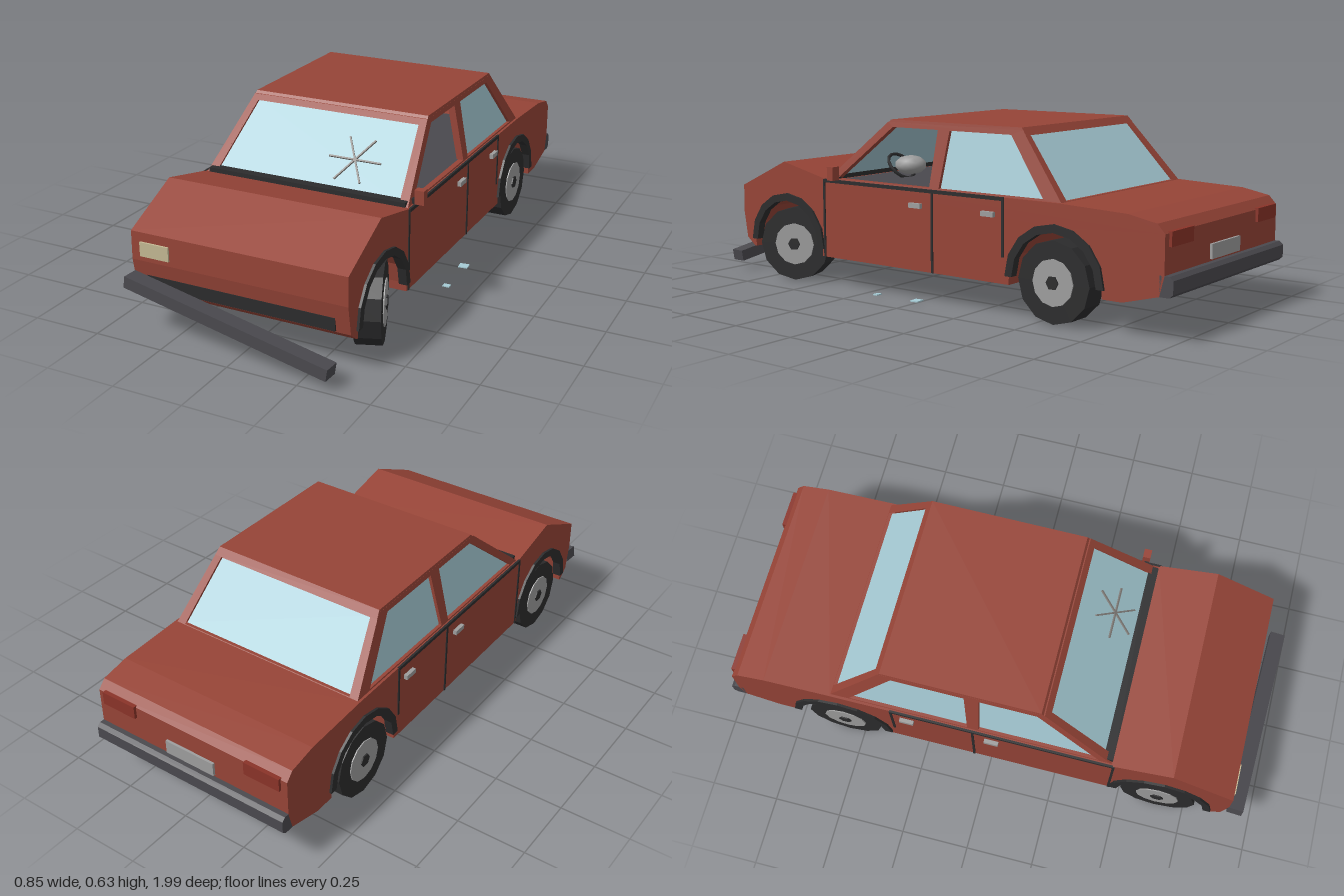
import * as THREE from 'three';

const mat = (name, color, side = THREE.FrontSide) => {
  const m = new THREE.MeshStandardMaterial({ color, side });
  m.name = name;
  return m;
};

export function createModel() {
  const paint = mat('rust red paint', 0x964437);
  const glassMat = mat('pale blue glass', 0xa6cbd5, THREE.DoubleSide);
  const black = mat('black rubber', 0x2c2c2d);
  const bumperGrey = mat('bumper grey', 0x4a494e);
  const metal = mat('light metal', 0x9d9d9d);
  const lampCream = mat('headlight cream', 0xc4b893);
  const lampRed = mat('tail light red', 0x8a3328);
  const crackGrey = mat('crack grey', 0x84807c);

  const model = new THREE.Group();
  model.name = 'damagedSedan';
  const car = new THREE.Group();
  car.name = 'car';
  car.position.x = -0.02;
  model.add(car);

  const add = (name, geo, material, parent = car) => {
    const m = new THREE.Mesh(geo, material);
    m.name = name;
    parent.add(m);
    return m;
  };
  const box = (name, material, size, pos, parent = car) => {
    const m = add(name, new THREE.BoxGeometry(...size), material, parent);
    m.position.set(...pos);
    return m;
  };
  const shapeOf = (pts, holes = []) => {
    const s = new THREE.Shape(pts.map(p => new THREE.Vector2(...p)));
    s.holes = holes.map(h => new THREE.Path(h.map(p => new THREE.Vector2(...p))));
    return s;
  };
  const extrude = (shape, depth) =>
    new THREE.ExtrudeGeometry(shape, { depth, bevelEnabled: false }).translate(0, 0, -depth / 2);
  // turns a (z, y) outline into a solid or sheet across x
  const toSide = geo => geo.rotateY(-Math.PI / 2);
  // leans a geometry by moving each vertex according to its height
  const lean = (geo, axis, rule) => {
    const p = geo.attributes.position;
    for (let i = 0; i < p.count; i++) {
      p.setComponent(i, axis, p.getComponent(i, axis) + rule(p.getY(i)));
    }
    geo.computeVertexNormals();
    return geo;
  };

  // Lower body: side outline with both wheel arches cut through
  const axleY = 0.14, archZ = [0.65, -0.565];
  const arc = (cz, r, n = 8) => Array.from({ length: n + 1 }, (_, i) => {
    const a = Math.PI * (1 - i / n);
    return [cz + r * Math.cos(a), axleY + r * Math.sin(a)];
  });
  const archCut = cz => [[cz - 0.18, 0.11], ...arc(cz, 0.18), [cz + 0.18, 0.11]];
  add('body', toSide(extrude(shapeOf([
    [0.838, 0.11], [0.878, 0.142], [0.895, 0.245], [0.893, 0.345], [0.667, 0.45], [0.45, 0.4],
    [-0.585, 0.4], [-0.837, 0.39], [-0.94, 0.37], [-0.967, 0.34], [-0.967, 0.21],
    [-0.95, 0.145], [-0.82, 0.11], ...archCut(archZ[1]), ...archCut(archZ[0]),
  ]), 0.79)), paint);

  // Cabin: the frames lean inwards from the beltline to the roof
  const sideX = y => 0.386 - (y - 0.4) * 0.213;
  const frontZ = y => 0.447 - (y - 0.4) * 1.17;
  const rearZ = y => -0.585 + (y - 0.4) * 0.84;
  const frontWindow = [[0.4, 0.405], [0.165, 0.603], [-0.042, 0.603], [-0.036, 0.405]];
  const rearWindow = [[-0.078, 0.405], [-0.094, 0.603], [-0.355, 0.603], [-0.515, 0.405]];
  const cabinOutline = [[0.447, 0.4], [0.19, 0.62], [-0.4, 0.62], [-0.585, 0.4]];

  for (const s of [1, -1]) {
    const label = s > 0 ? 'left' : 'right';
    const frame = toSide(extrude(shapeOf(cabinOutline, [frontWindow, rearWindow]), 0.026));
    add(label + 'CabinFrame', lean(frame, 0, y => s * (sideX(y) - 0.013)), paint);
    // the front door glass on the left is broken out
    const panes = s > 0 ? [rearWindow] : [frontWindow, rearWindow];
    panes.forEach(p => add(label + 'DoorGlass',
      lean(toSide(new THREE.ShapeGeometry(shapeOf(p))), 0, y => s * (sideX(y) - 0.012)), glassMat));
  }

  for (const [label, zRule, inward] of [['windscreen', frontZ, -1], ['rearWindow', rearZ, 1]]) {
    const hole = [[-0.352, 0.402], [-0.315, 0.603], [0.315, 0.603], [0.352, 0.402]];
    const outline = [[-0.386, 0.4], [-0.339, 0.62], [0.339, 0.62], [0.386, 0.4]];
    const frame = extrude(shapeOf(outline, [hole]), 0.024);
    add(label + 'Frame', lean(frame, 2, y => zRule(y) + inward * 0.012), paint);
    add(label + 'Glass', lean(new THREE.ShapeGeometry(shapeOf(hole)), 2,
      y => zRule(y) + inward * 0.012), glassMat);
  }

  // Roof panel, wider at its lower edge
  const roof = new THREE.BoxGeometry(0.674, 0.024, 0.572);
  const rp = roof.attributes.position;
  for (let i = 0; i < rp.count; i++) {
    if (rp.getY(i) < 0) rp.setXYZ(i, rp.getX(i) * 1.014, rp.getY(i), rp.getZ(i) * 1.07);
  }
  roof.computeVertexNormals();
  add('roof', roof, paint).position.set(0, 0.617, -0.108);

  // Cabin floor, cowl and belt trim
  box('cabinFloor', bumperGrey, [0.73, 0.006, 0.88], [0, 0.402, -0.06]);
  box('cowl', black, [0.755, 0.022, 0.035], [0, 0.405, 0.433]);

  // Door seams, belt line, handles and wheel-arch trims
  for (const s of [1, -1]) {
    const x = s * 0.395;
    box('beltTrim', black, [0.008, 0.012, 0.82], [x, 0.395, 0.047]);
    for (const [z, low] of [[0.457, 0.11], [-0.057, 0.11], [-0.36, 0.2]]) {
      box('doorSeam', black, [0.006, 0.4 - low, 0.009], [x, (0.4 + low) / 2, z]);
    }
    for (const z of [0.013, -0.302]) {
      box('doorHandle', metal, [0.02, 0.017, 0.052], [s * 0.399, 0.341, z]);
    }
    for (const cz of archZ) {
      const ring = shapeOf([...arc(cz, 0.192), ...arc(cz, 0.164).reverse()]);
      add('archTrim', toSide(extrude(ring, 0.03)), black).position.x = s * 0.389;
    }
  }

  // Wheels; the left front one is knocked out of line
  const disc = (r, w, n) => new THREE.CylinderGeometry(r, r, w, n).toNonIndexed()
    .rotateZ(-Math.PI / 2);
  const flatDisc = (r, w, n) => { const g = disc(r, w, n); g.computeVertexNormals(); return g; };
  for (const s of [1, -1]) {
    for (const z of [0.64, -0.56]) {
      const wheel = new THREE.Group();
      wheel.name = (s > 0 ? 'left' : 'right') + (z > 0 ? 'Front' : 'Rear') + 'Wheel';
      wheel.position.set(s * 0.347, 0.139, z);
      if (s > 0 && z > 0) wheel.rotation.y = 0.35;
      car.add(wheel);
      add('tyre', flatDisc(0.139, 0.09, 12), black, wheel);
      add('rim', flatDisc(0.079, 0.012, 12), metal, wheel).position.x = s * 0.043;
      add('hub', flatDisc(0.024, 0.016, 6), black, wheel).position.x = s * 0.046;
    }
  }

  // Front end: one surviving headlight, lower grille and hanging bumper
  box('headlight', lampCream, [0.11, 0.05, 0.009], [-0.305, 0.288, 0.896]);
  box('lowerGrille', black, [0.69, 0.045, 0.02], [0, 0.171, 0.878]);
  const frontBumper = box('frontBumper', bumperGrey, [0.775, 0.042, 0.056], [-0.01, 0.12, 0.945]);
  frontBumper.rotation.set(0, -0.055, -0.17);

  // Rear end: lamps, blank plate and chamfered bumper
  for (const s of [1, -1]) {
    box('tailLight', lampRed, [0.14, 0.048, 0.016], [s * 0.3, 0.322, -0.969]);
  }
  box('rearPlate', metal, [0.2, 0.05, 0.012], [0, 0.245, -0.97]);
  add('rearBumper', toSide(extrude(shapeOf([
    [-0.95, 0.145], [-0.95, 0.212], [-0.985, 0.212], [-0.998, 0.2], [-0.998, 0.157], [-0.985, 0.145],
  ]), 0.79)), bumperGrey);

  // Door mirror on the left side only
  box('mirror', paint, [0.034, 0.05, 0.028], [0.41, 0.426, 0.398]);
  box('mirrorArm', black, [0.03, 0.018, 0.018], [0.385, 0.41, 0.402]);

  // Steering wheel with a slack airbag
  const steering = add('steeringWheel', new THREE.TorusGeometry(0.057, 0.006, 6, 14), black);
  steering.position.set(0.18, 0.443, 0.268);
  steering.rotation.x = 0.75;
  const bag = add('airbag', new THREE.IcosahedronGeometry(1, 1), metal);
  bag.scale.set(0.06, 0.036, 0.06);
  bag.position.set(0.18, 0.45, 0.222);

  // Star crack on the windscreen
  const crack = new THREE.Group();
  crack.name = 'windscreenCrack';
  crack.position.set(0.137, 0.49, frontZ(0.49) - 0.006);
  crack.rotation.x = -Math.atan(1.17);
  car.add(crack);
  for (let i = 0; i < 3; i++) {
    box('crackLine', crackGrey, [0.196, 0.006, 0.006], [0, 0, 0], crack).rotation.z = i * Math.PI / 3;
  }

  // Glass pieces lying on the ground
  box('glassShard', glassMat, [0.035, 0.004, 0.032], [0.413, 0.008, 0]).rotation.y = 0.1;
  box('glassShard', glassMat, [0.026, 0.004, 0.02], [0.42, 0.008, 0.178]);

  return model;
}
